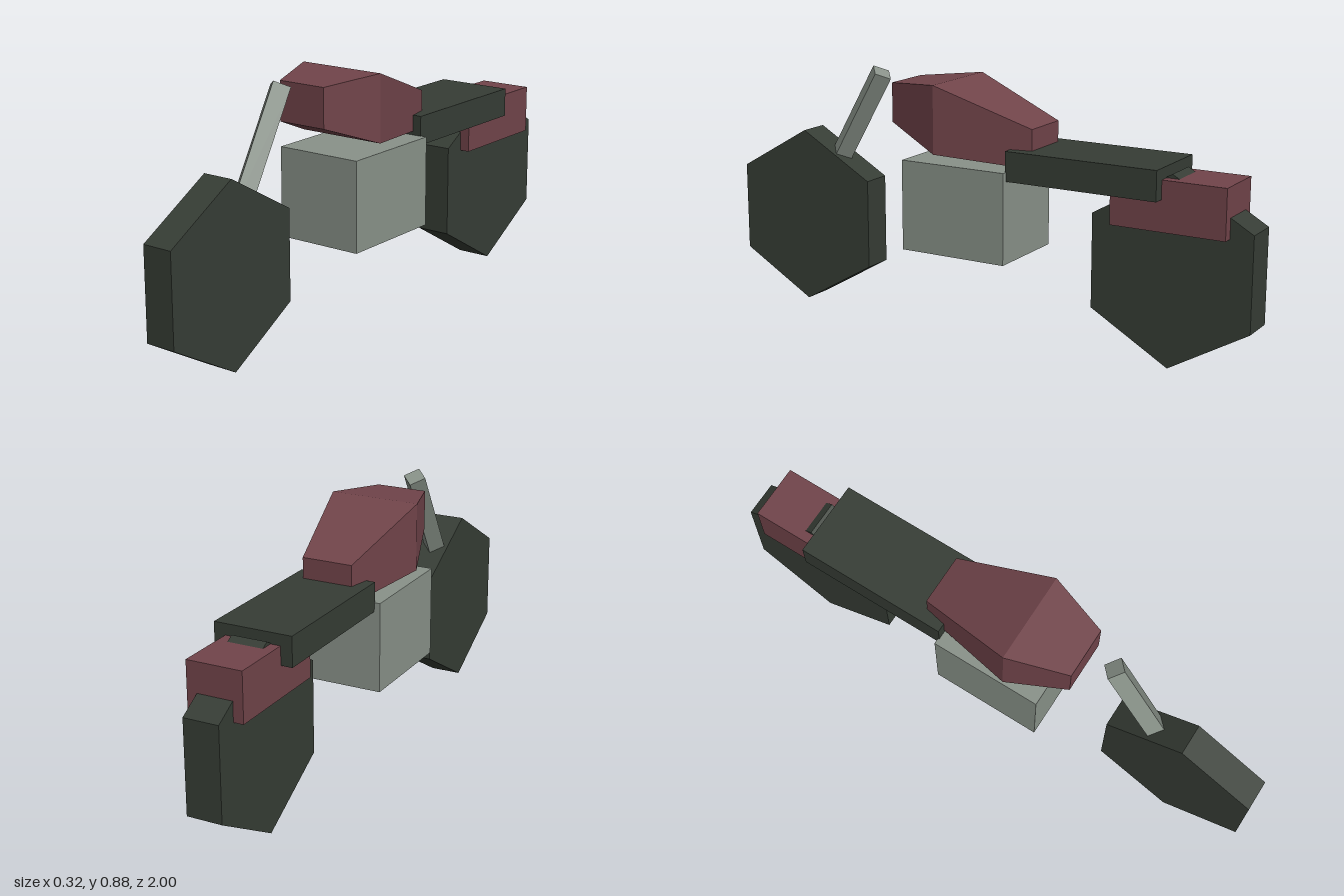
import * as THREE from 'three';

const red = new THREE.MeshStandardMaterial({ color: 0x71444a });
red.name = 'dark red paint';
const dark = new THREE.MeshStandardMaterial({ color: 0x363d35 });
dark.name = 'dark rubber';
const grey = new THREE.MeshStandardMaterial({ color: 0x899289 });
grey.name = 'grey metal';

export function createModel() {
  const group = new THREE.Group();

  // Adds a faceted mesh
  function add(name, geometry, material, y, z) {
    const flat = geometry.toNonIndexed();
    flat.computeVertexNormals();
    const mesh = new THREE.Mesh(flat, material);
    mesh.name = name;
    mesh.position.set(0, y, z);
    group.add(mesh);
    return mesh;
  }

  // Box given by half width and its y and z limits
  function addBox(name, material, halfX, y0, y1, z0, z1) {
    add(name, new THREE.BoxGeometry(halfX * 2, y1 - y0, z1 - z0), material, (y0 + y1) / 2, (z0 + z1) / 2);
  }

  // Six-sided wheels, one corner pointing up
  function addWheel(name, radius, width, y, z) {
    const wheel = new THREE.CylinderGeometry(radius, radius, width, 6, 1, false, Math.PI / 2);
    add(name, wheel.rotateZ(Math.PI / 2), dark, y, z);
  }
  addWheel('frontWheel', 0.315, 0.11, 0.319, 0.728);
  addWheel('rearWheel', 0.323, 0.124, 0.323, -0.72);

  // Four-sided fork leaning back from the front wheel
  add('fork', new THREE.CylinderGeometry(0.042, 0.042, 0.5, 4), grey, 0.646, 0.548).rotation.x = -Math.PI / 6;

  addBox('engine', grey, 0.158, 0.285, 0.6, -0.16, 0.238);
  addBox('seat', dark, 0.137, 0.568, 0.67, -0.7, -0.155);
  addBox('rearFender', red, 0.097, 0.462, 0.632, -0.92, -0.52);

  // Tank: a box with three cross-sections, widest in the middle
  const sections = [
    { z: -0.23, x: 0.09, y0: 0.608, y1: 0.742 },
    { z: 0.11, x: 0.16, y0: 0.633, y1: 0.868 },
    { z: 0.32, x: 0.09, y0: 0.712, y1: 0.849 },
  ];
  const tank = new THREE.BoxGeometry(1, 1, 2, 1, 1, 2);
  const p = tank.attributes.position;
  for (let i = 0; i < p.count; i++) {
    const s = sections[Math.round(p.getZ(i)) + 1];
    p.setXYZ(i, Math.sign(p.getX(i)) * s.x, p.getY(i) > 0 ? s.y1 : s.y0, s.z);
  }
  add('tank', tank, red, 0, 0);

  return group;
}
